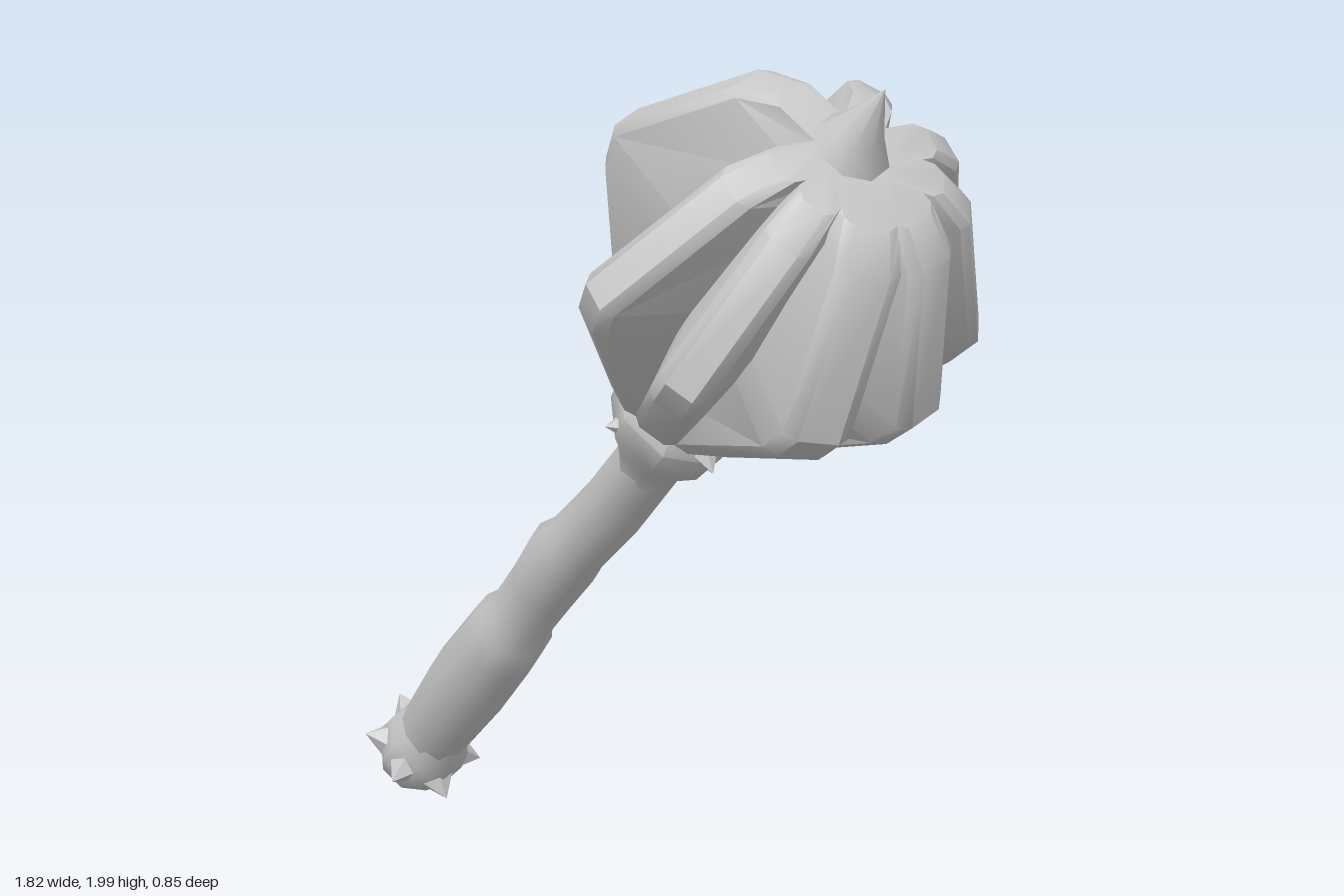
import * as THREE from 'three';
import { toCreasedNormals } from 'three/addons/utils/BufferGeometryUtils.js';

export function createModel() {
  const steel = new THREE.MeshStandardMaterial({ color: 0xc8c8c8 });
  steel.name = 'grey steel';

  // Local frame: y runs along the shaft from pommel tip to spike tip
  const mace = new THREE.Group();
  mace.name = 'mace';
  mace.position.set(-0.9, 0.01, 0);
  mace.rotation.z = -0.7186;

  const add = (name, geo, parent = mace) => {
    const mesh = new THREE.Mesh(geo, steel);
    mesh.name = name;
    parent.add(mesh);
    return mesh;
  };

  // Turned part; each profile point is [radius, height, sideways shift]
  const turned = (profile, sides, crease) => {
    const geo = new THREE.LatheGeometry(profile.map(([r, y]) => new THREE.Vector2(r, y)), sides);
    const pos = geo.attributes.position;
    for (let i = 0; i < pos.count; i++) {
      pos.setX(i, pos.getX(i) + (profile[i % profile.length][2] || 0));
    }
    return toCreasedNormals(geo, crease);
  };

  // Slightly bowed handle with worn grip steps
  add('handle', turned([
    [0.075, 0.2, 0], [0.088, 0.32, 0], [0.098, 0.5, 0.003], [0.094, 0.68, 0.01],
    [0.09, 0.76, 0.012], [0.076, 0.8, 0.012], [0.079, 0.95, 0.015], [0.085, 1.07, 0.015],
    [0.074, 1.13, 0.025], [0.073, 1.3, 0.045], [0.071, 1.56, 0.055],
  ], 10, 1.0));

  // Pommel with a pointed end
  add('pommel', turned([
    [0, 0], [0.03, 0.075], [0.08, 0.095], [0.105, 0.165], [0.098, 0.22], [0.075, 0.28],
  ], 8, 0.9));

  // Flared collar under the head
  add('collar', turned([
    [0.07, 1.48, 0.055], [0.09, 1.54, 0.045], [0.13, 1.6, 0.04], [0.14, 1.67, 0.04],
    [0.11, 1.74, 0.03], [0.05, 1.77, 0.025],
  ], 8, 0.9));

  // Broad thorns pointing out of the pommel and collar
  const thorn = (name, angle, y, shift, reach, size) => {
    const geo = new THREE.ConeGeometry(size, 0.1, 5);
    geo.rotateZ(-Math.PI / 2);
    geo.translate(reach - 0.05, 0, 0);
    const mesh = add(name, toCreasedNormals(geo, 0.5));
    mesh.position.set(shift, y, 0);
    mesh.rotation.y = -angle;
  };
  for (let i = 0; i < 6; i++) {
    thorn('pommelThorn', i * Math.PI / 3, 0.165 + 0.015 * (i % 2), 0, 0.14, 0.075);
  }
  [[0.1, 1.68, 0.165], [1.7, 1.62, 0.155], [3.25, 1.63, 0.175], [4.5, 1.6, 0.165]]
    .forEach(([a, y, reach]) => thorn('collarThorn', a, y, 0.04, reach, 0.06));

  // Head
  const head = new THREE.Group();
  head.name = 'head';
  head.position.x = 0.025;
  mace.add(head);

  add('headCore', turned([
    [0, 1.69], [0.07, 1.7], [0.16, 1.85], [0.22, 2.1], [0.18, 2.3], [0.1, 2.46], [0, 2.5],
  ], 10, 0.8), head);

  // Flange cross-sections: [height, reach, half width at rim, half width at root]
  const sections = [
    [1.69, 0.08, 0.03, 0.03], [1.74, 0.18, 0.05, 0.05], [2.07, 0.405, 0.05, 0.1],
    [2.15, 0.425, 0.05, 0.1], [2.44, 0.26, 0.048, 0.07], [2.49, 0.18, 0.04, 0.04],
  ];
  const ring = 6;
  const corners = [];
  for (const [y, r, rim, root] of sections) {
    corners.push(0.03, y, root, r - 0.02, y, rim, r, y, rim * 0.6);
    corners.push(r, y, -rim * 0.6, r - 0.02, y, -rim, 0.03, y, -root);
  }
  const faces = [];
  for (let i = 0; i < sections.length - 1; i++) {
    for (let k = 0; k < ring; k++) {
      const a = i * ring + k, b = i * ring + (k + 1) % ring;
      faces.push(a, b, b + ring, a, b + ring, a + ring);
    }
  }
  const top = (sections.length - 1) * ring;
  for (let k = 1; k < ring - 1; k++) faces.push(0, k + 1, k, top, top + k, top + k + 1);
  const flangeShape = new THREE.BufferGeometry();
  flangeShape.setAttribute('position', new THREE.Float32BufferAttribute(corners, 3));
  flangeShape.setIndex(faces);
  const flangeGeo = toCreasedNormals(flangeShape, 0.7);

  // Unevenly spaced flanges: [degrees from +x towards +z, reach scale, width scale]
  const flanges = [
    [18, 0.97, 1.4], [57, 1, 1], [90, 1, 1], [158, 0.95, 1.25],
    [225, 0.9, 1], [270, 1, 1], [303, 1, 1], [342, 0.97, 1.4],
  ];
  for (const [deg, reach, width] of flanges) {
    const flange = add('flange', flangeGeo, head);
    flange.rotation.y = -THREE.MathUtils.degToRad(deg);
    flange.scale.set(reach, 1, width);
  }

  // Spike on the tip
  add('tipSpike', turned([
    [0.12, 2.4, 0.02], [0.085, 2.48, 0.015], [0.05, 2.53, 0.008], [0, 2.643, 0],
  ], 8, 0.9));

  const model = new THREE.Group();
  model.name = 'flangedMace';
  model.add(mace);
  return model;
}
